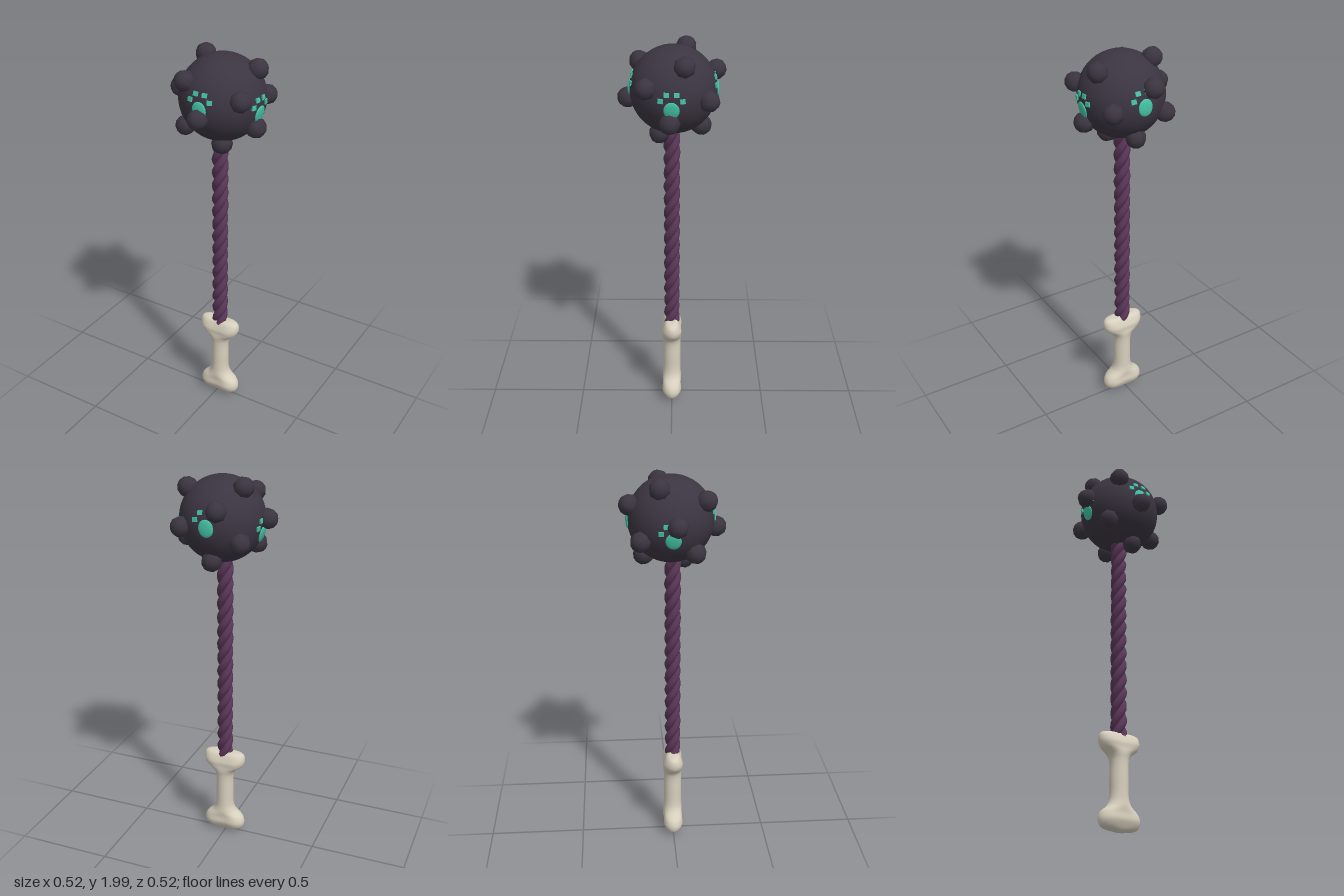
import * as THREE from 'three';

const material = (name, color) => {
  const m = new THREE.MeshStandardMaterial({ color });
  m.name = name;
  return m;
};

// Loft of pinched ovals along y; each profile point is (y, half width, half depth)
function boneGeometry(profile, rings, sides) {
  const curve = new THREE.CatmullRomCurve3(profile.map(p => new THREE.Vector3(...p)), false, 'centripetal');
  const positions = [], index = [];
  for (let i = 0; i <= rings; i++) {
    const p = curve.getPoint(i / rings);
    const a = Math.max(p.y, 0), b = Math.max(p.z, 0);
    const pinch = THREE.MathUtils.clamp((a - b) * 6, 0, 0.3);
    for (let j = 0; j < sides; j++) {
      const t = (j / sides) * Math.PI * 2, s = Math.sin(t);
      positions.push(a * Math.cos(t), p.x, b * s * (1 - pinch * s ** 6));
      if (i < rings) {
        const k = i * sides + j, n = i * sides + ((j + 1) % sides);
        index.push(k, k + sides, n, n, k + sides, n + sides);
      }
    }
  }
  const g = new THREE.BufferGeometry();
  g.setAttribute('position', new THREE.Float32BufferAttribute(positions, 3));
  g.setIndex(index);
  g.computeVertexNormals();
  return g;
}

export function createModel() {
  const model = new THREE.Group();
  model.name = 'mace';
  const dark = material('charcoal', 0x3b3541);
  const purple = material('purple rope', 0x5a3658);
  const teal = material('teal', 0x45c4a6);
  const ivory = material('ivory', 0xd8d0be);

  const add = (parent, name, geometry, mat) => {
    const mesh = new THREE.Mesh(geometry, mat);
    mesh.name = name;
    parent.add(mesh);
    return mesh;
  };

  // Bone handle with two-lobed ends
  const bone = add(model, 'boneHandle', boneGeometry([
    [0.005, 0, 0], [0.012, 0.045, 0.022], [0.027, 0.1, 0.048], [0.06, 0.113, 0.067],
    [0.095, 0.103, 0.063], [0.13, 0.064, 0.054], [0.165, 0.049, 0.048], [0.26, 0.047, 0.047],
    [0.355, 0.049, 0.048], [0.385, 0.064, 0.054], [0.415, 0.1, 0.063], [0.445, 0.113, 0.067],
    [0.482, 0.108, 0.048], [0.494, 0.075, 0.025], [0.489, 0, 0],
  ], 56, 28), ivory);
  bone.position.x = 0.009;

  // Twisted rope shaft
  const rope = new THREE.Group();
  rope.name = 'rope';
  rope.position.x = 0.008;
  model.add(rope);
  const strands = 3, pitch = 0.22, y0 = 0.47, y1 = 1.6;
  for (let s = 0; s < strands; s++) {
    const points = [];
    for (let i = 0; i <= 80; i++) {
      const y = THREE.MathUtils.lerp(y0, y1, i / 80);
      const a = -(y / pitch + s / strands) * Math.PI * 2;
      points.push(new THREE.Vector3(0.021 * Math.cos(a), y, 0.021 * Math.sin(a)));
    }
    add(rope, 'ropeStrand', new THREE.TubeGeometry(new THREE.CatmullRomCurve3(points), 130, 0.021, 8), purple);
  }

  // Ball head
  const head = new THREE.Group();
  head.name = 'head';
  head.position.set(0.017, 1.775, -0.008);
  model.add(head);
  add(head, 'ball', new THREE.SphereGeometry(0.211, 40, 28), dark);

  // Blunt studs, given by their direction from the ball centre
  const studGeometry = new THREE.SphereGeometry(0.052, 8, 6).rotateX(Math.PI / 2);
  const studs = [
    [-0.05, 0.085, -0.21], [-0.153, -0.075, -0.157], [0.147, -0.015, -0.167],
    [-0.133, 0.175, -0.062], [0.16, 0.15, -0.052], [-0.233, 0.015, 0.022],
    [0.172, 0.05, 0.13], [-0.109, 0.11, 0.168], [-0.003, -0.045, 0.233],
    [0.193, -0.11, 0.018], [-0.148, -0.145, 0.118], [0.038, -0.21, 0.068],
    [0.003, -0.175, -0.132],
  ];
  for (const d of studs) {
    const direction = new THREE.Vector3(...d).normalize();
    const stud = new THREE.Mesh(studGeometry, dark);
    stud.name = 'stud';
    stud.position.copy(direction).multiplyScalar(0.222);
    stud.lookAt(direction.multiplyScalar(2));
    head.add(stud);
  }

  // Paw marks wrapped onto the ball: one pad and four toes each
  const padGeometry = new THREE.SphereGeometry(1, 16, 10).scale(0.038, 0.043, 0.009);
  const toeGeometry = new THREE.BoxGeometry(0.025, 0.022, 0.009);
  const toes = [[-0.053, 0.044], [-0.025, 0.075], [0.025, 0.075], [0.053, 0.044]];
  const paws = [[0, 0, 0], [Math.PI / 2 - 0.04, 0.2, 0], [Math.PI, 0, 0.15], [-Math.PI / 2, 0.27, 0.15]];
  for (const [yaw, tilt, roll] of paws) {
    const paw = new THREE.Group();
    paw.name = 'pawMark';
    paw.rotation.set(tilt, yaw, roll, 'YXZ');
    const place = (name, geometry, u, v, radius) => {
      const a = u / 0.211, b = v / 0.211;
      const direction = new THREE.Vector3(Math.sin(a) * Math.cos(b), Math.sin(b), Math.cos(a) * Math.cos(b));
      const mesh = new THREE.Mesh(geometry, teal);
      mesh.name = name;
      mesh.position.copy(direction).multiplyScalar(radius);
      mesh.lookAt(direction.multiplyScalar(2));
      paw.add(mesh);
    };
    place('pawPad', padGeometry, 0, 0, 0.21);
    for (const [u, v] of toes) place('pawToe', toeGeometry, u, v, 0.212);
    head.add(paw);
  }

  return model;
}
